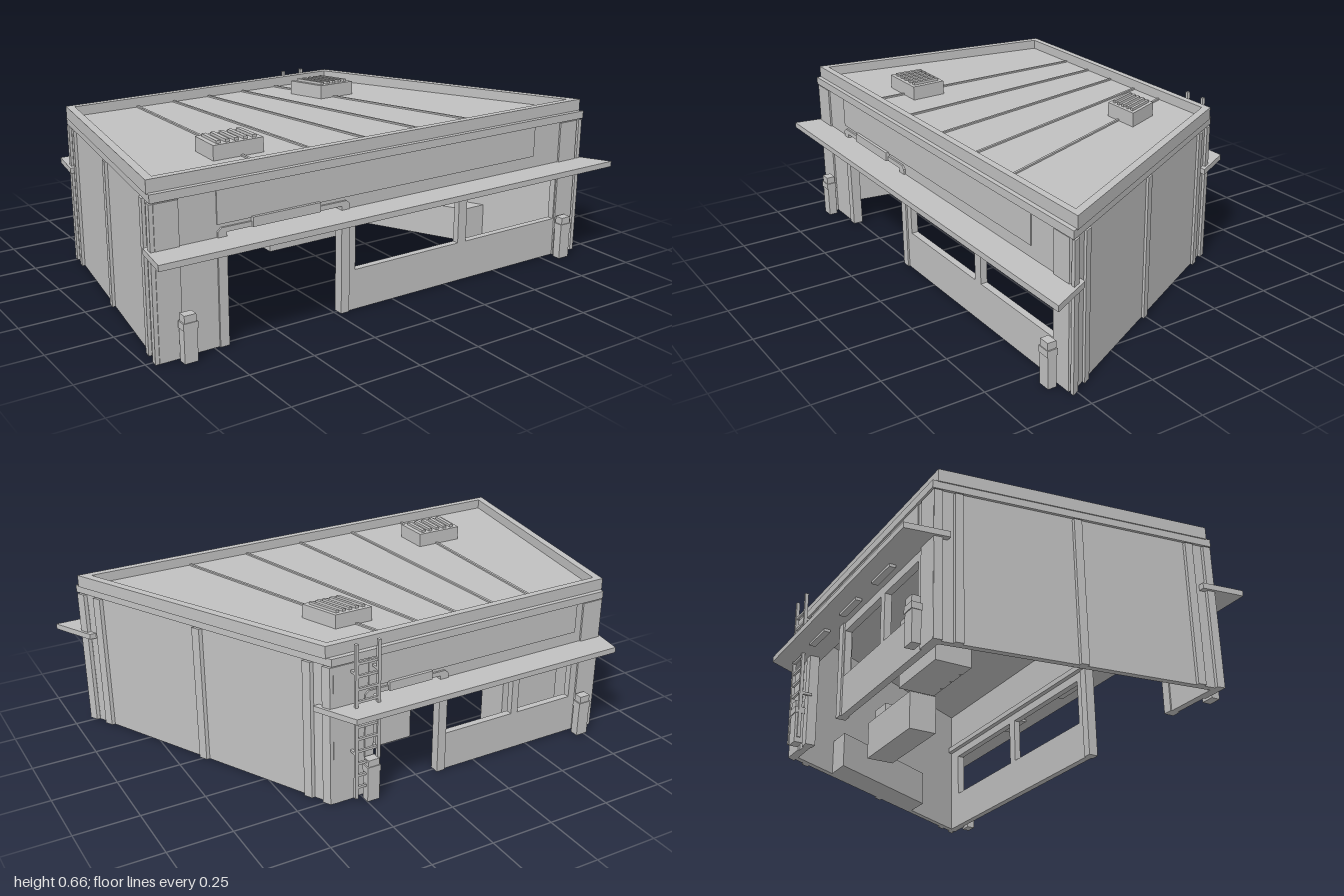
import * as THREE from 'three';

const grey = new THREE.MeshStandardMaterial({ color: 0xc0c0c0 });
grey.name = 'plain grey';

// x of the tapering plan's side edge at depth z, moved inward by d
const edge = (side, z, d = 0) => side < 0 ? -0.907 - 0.147 * z + d : 0.665 + 0.53 * z - d * 1.13;
const plan = (zMax, d) => [
  [edge(-1, zMax, d), zMax], [edge(1, zMax, d), zMax],
  [edge(1, -zMax, d), -zMax], [edge(-1, -zMax, d), -zMax]];

export function createModel() {
  const model = new THREE.Group();
  model.name = 'shop';

  const add = (name, geometry) => {
    const mesh = new THREE.Mesh(geometry, grey);
    mesh.name = name;
    model.add(mesh);
    return mesh;
  };
  const box = (name, x0, x1, y0, y1, z0, z1) => {
    const g = new THREE.BoxGeometry(x1 - x0, y1 - y0, Math.abs(z1 - z0));
    return add(name, g.translate((x0 + x1) / 2, (y0 + y1) / 2, (z0 + z1) / 2));
  };
  // upright prism over a floor plan of [x, z] points, with an optional hole
  const prism = (name, points, y0, y1, hole) => {
    const flat = (list) => list.map(([x, z]) => new THREE.Vector2(x, -z));
    const shape = new THREE.Shape(flat(points));
    if (hole) shape.holes.push(new THREE.Path(flat(hole)));
    const g = new THREE.ExtrudeGeometry(shape, { depth: y1 - y0, bevelEnabled: false });
    return add(name, g.rotateX(-Math.PI / 2).translate(0, y0, 0));
  };
  // strip running along a slanted side
  const sideStrip = (name, side, z0, z1, d0, d1, y0, y1) => prism(name, [
    [edge(side, z0, d0), z0], [edge(side, z1, d0), z1],
    [edge(side, z1, d1), z1], [edge(side, z0, d1), z0]], y0, y1);
  // upright panel from [x, y] points with rectangular holes
  const panel = (name, points, holes, z, depth) => {
    const vec = (list) => list.map(([x, y]) => new THREE.Vector2(x, y));
    const shape = new THREE.Shape(vec(points));
    for (const [x0, x1, y0, y1] of holes)
      shape.holes.push(new THREE.Path(vec([[x0, y0], [x0, y1], [x1, y1], [x1, y0]])));
    const g = new THREE.ExtrudeGeometry(shape, { depth, bevelEnabled: false });
    return add(name, g.translate(0, 0, z));
  };

  // front and back facades, with a doorway and a divided window each
  const facades = [
    { s: 1, name: 'front', l: -0.955, r: 0.9, door: [-0.695, -0.235],
      windows: [[-0.17, 0.31], [0.35, 0.81]], band: [-0.73, 0.68], sign: [-0.6, -0.33],
      lights: [-0.45, -0.02, 0.41], posts: [-0.865, 0.83] },
    { s: -1, name: 'back', l: -0.815, r: 0.36, door: [-0.08, 0.2],
      windows: [[-0.7, -0.45], [-0.42, -0.12]], band: [-0.7, 0.22], sign: [-0.04, 0.14],
      lights: [-0.52, -0.25, 0.03], posts: [-0.74, 0.225] }];

  for (const f of facades) {
    const { s, name, l, r } = f;
    const [d0, d1] = f.door;
    // thickness runs from a to b measured outward from the centre
    const at = (a, b) => (s > 0 ? a : -b);
    const slab = (part, x0, x1, y0, y1, a, b) =>
      box(name + part, x0, x1, y0, y1, at(a, b), at(a, b) + b - a);

    panel(name + 'Wall',
      [[l, 0], [d0, 0], [d0, 0.41], [d1, 0.41], [d1, 0], [r, 0], [r, 0.585], [l, 0.585]],
      f.windows.map(([a, b]) => [a, b, 0.155, 0.34]), at(0.49, 0.517), 0.027);
    panel(name + 'DoorFrame',
      [[d0 - 0.035, 0], [d0, 0], [d0, 0.41], [d1, 0.41], [d1, 0], [d1 + 0.035, 0],
        [d1 + 0.035, 0.415], [d1 + 0.02, 0.428], [d0 - 0.02, 0.428], [d0 - 0.035, 0.415]],
      [], at(0.485, 0.524), 0.039);
    slab('FasciaBand', f.band[0], f.band[1], 0.44, 0.56, 0.515, 0.521);
    slab('DoorSign', f.sign[0], f.sign[1], 0.41, 0.445, 0.51, 0.533);
    slab('CornerPierRight', l - 0.003, l + 0.085, 0, 0.555, 0.5, 0.524);
    slab('CornerPierLeft', r - 0.085, r + 0.003, 0, 0.555, 0.5, 0.524);

    // canopy and the lamps under it
    const zi = s * 0.47, zo = s * 0.632;
    prism(name + 'Canopy',
      [[edge(-1, zi), zi], [edge(1, zi), zi], [edge(1, zo), zo], [edge(-1, zo), zo]], 0.373, 0.395);
    for (const x of f.lights) slab('CanopyLamp', x - 0.07, x + 0.07, 0.362, 0.374, 0.545, 0.57);

    // guard posts with a narrower cap
    for (const x of f.posts) {
      slab('PostFoot', x - 0.025, x + 0.025, 0, 0.125, 0.537, 0.571);
      slab('PostCollar', x - 0.027, x + 0.027, 0.12, 0.145, 0.534, 0.574);
      slab('PostCap', x - 0.022, x + 0.022, 0.14, 0.172, 0.537, 0.571);
    }
  }

  // slanted side walls with pilasters
  for (const side of [-1, 1]) {
    sideStrip('sideWall', side, -0.515, 0.515, 0.022, 0.045, 0, 0.585);
    for (const z of [-0.508, -0.435, 0, 0.435, 0.508])
      sideStrip('sidePilaster', side, z - 0.015, z + 0.015, 0.01, 0.025, 0, 0.555);
  }

  // roof deck, cornice and parapet
  prism('roofDeck', plan(0.5, 0.03), 0.56, 0.597);
  prism('cornice', plan(0.528, 0.012), 0.56, 0.59, plan(0.49, 0.04));
  prism('parapet', plan(0.51, 0.008), 0.587, 0.635, plan(0.483, 0.038));

  // standing seams fanning across the roof
  for (let i = 0; i < 5; i++) {
    const t = 0.23 + 0.136 * i;
    const x = (z) => THREE.MathUtils.lerp(edge(-1, z, 0.03), edge(1, z, 0.03), t);
    prism('roofSeam', [[x(0.48) - 0.005, 0.48], [x(0.48) + 0.005, 0.48],
      [x(-0.48) + 0.005, -0.48], [x(-0.48) - 0.005, -0.48]], 0.594, 0.603);
  }

  // louvred roof vents, skewed along the seams: [back x0, x1, z], [front x0, x1, z]
  const vents = [[[-0.635, -0.445, 0.2], [-0.64, -0.44, 0.34]],
    [[0.1, 0.25, -0.335], [0.155, 0.31, -0.19]]];
  for (const [b, f] of vents) {
    prism('roofVent', [[f[0], f[2]], [f[1], f[2]], [b[1], b[2]], [b[0], b[2]]], 0.59, 0.652);
    const point = (u, v) => [0, 1, 2].map((k) => b[k] + (f[k] - b[k]) * v);
    const at = (u, v) => { const p = point(u, v); return [p[0] + (p[1] - p[0]) * u, p[2]]; };
    for (let i = 0; i < 5; i++) {
      const u = 0.1 + 0.18 * i;
      prism('ventSlat', [at(u, 0.9), at(u + 0.08, 0.9), at(u + 0.08, 0.1), at(u, 0.1)], 0.65, 0.662);
    }
  }

  // ladder on the back wall
  for (const x of [0.2, 0.29]) {
    box('ladderRail', x - 0.006, x + 0.006, 0.02, 0.64, -0.562, -0.549);
    for (const y of [0.2, 0.52]) box('ladderBracket', x - 0.005, x + 0.005, y, y + 0.01, -0.555, -0.51);
  }
  for (let i = 0; i < 11; i++)
    box('ladderRung', 0.2, 0.29, 0.06 + i * 0.05, 0.07 + i * 0.05, -0.56, -0.551);

  // interior cabinets, counter and wall shelf
  for (let i = 0; i < 4; i++)
    box('cabinet', -0.69 + i * 0.066, -0.628 + i * 0.066, 0, 0.26, -0.44, -0.31);
  box('cabinetBack', -0.69, -0.43, 0, 0.255, -0.445, -0.32);
  box('counter', -0.13, 0.23, 0, 0.15, -0.25, -0.14);
  box('till', 0.12, 0.21, 0.15, 0.2, -0.23, -0.16);
  sideStrip('wallShelf', 1, -0.3, 0.2, 0.045, 0.14, 0, 0.14);

  return model;
}
